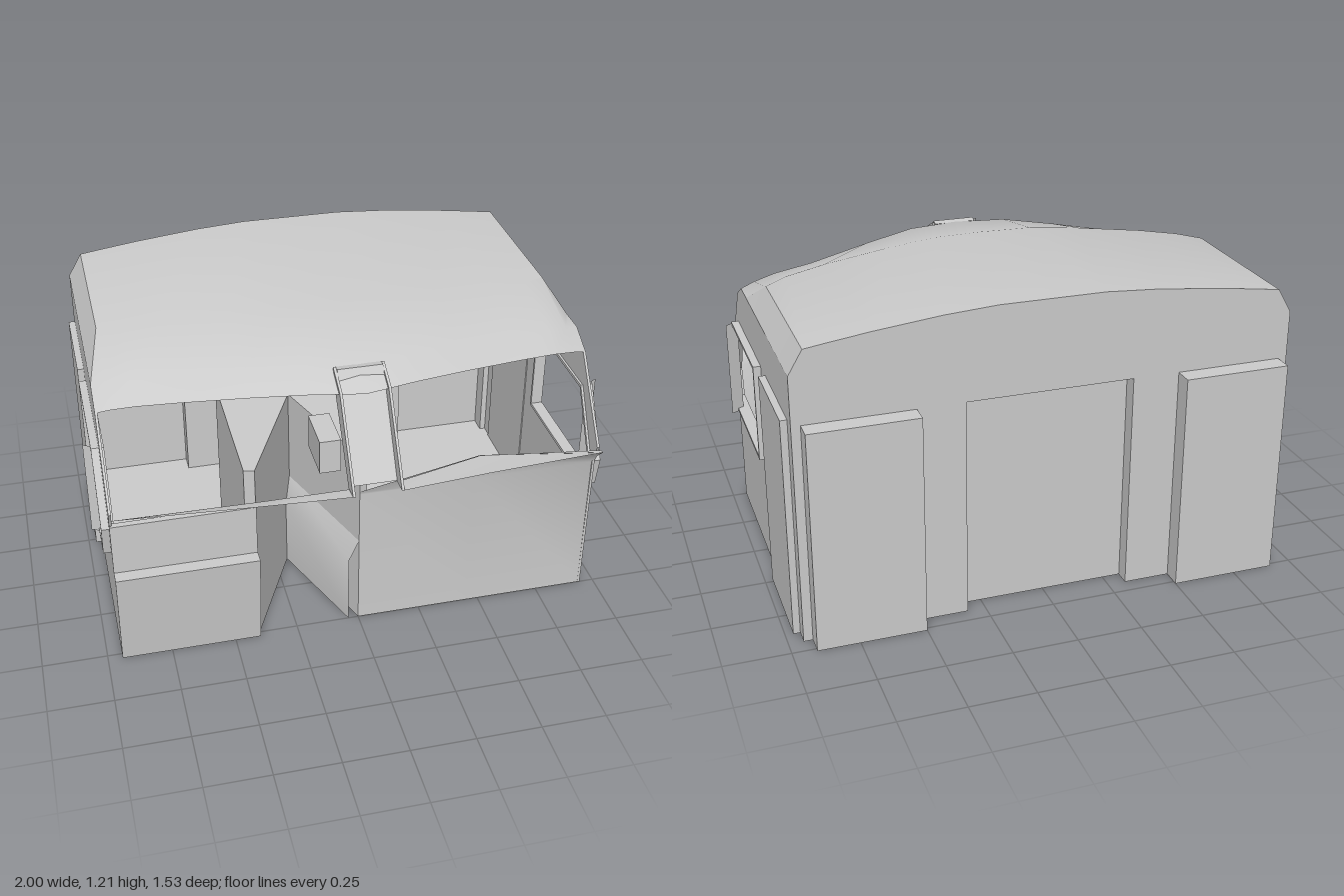
import * as THREE from 'three';
import { toCreasedNormals } from 'three/addons/utils/BufferGeometryUtils.js';

const mat = new THREE.MeshStandardMaterial({ color: 0xcccccc, side: THREE.DoubleSide });
const oneSided = new THREE.MeshStandardMaterial({ color: 0xcccccc });

const outline = (pts) => new THREE.Shape(pts.map(([a, b]) => new THREE.Vector2(a, b)));

// Surface through equal-length rows of [x, y, z] points
function loft(rows, crease = 0.5) {
  const n = rows[0].length, index = [];
  for (let i = 0; i < rows.length - 1; i++) {
    for (let j = 0; j < n - 1; j++) {
      const a = i * n + j, b = a + n;
      index.push(a, b, a + 1, b, b + 1, a + 1);
    }
  }
  const g = new THREE.BufferGeometry();
  g.setAttribute('position', new THREE.Float32BufferAttribute(rows.flat(2), 3));
  g.setIndex(index);
  return toCreasedNormals(g, crease);
}

// Plate drawn in (z, y), running from x0 to x1
function sidePlate(shape, x0, x1) {
  const g = new THREE.ExtrudeGeometry(shape, { depth: x1 - x0, bevelEnabled: false });
  return g.rotateY(-Math.PI / 2).translate(x1, 0, 0);
}

// Box from its minimum and maximum corners
function block(x0, x1, y0, y1, z0, z1) {
  return new THREE.BoxGeometry(x1 - x0, y1 - y0, z1 - z0)
    .translate((x0 + x1) / 2, (y0 + y1) / 2, (z0 + z1) / 2);
}

export function createModel() {
  const model = new THREE.Group();
  const add = (name, geometry, material = mat, parent = model) => {
    const m = new THREE.Mesh(geometry, material);
    m.name = name;
    parent.add(m);
    return m;
  };

  // Floor with front notch, rear doorway recess and rear pads
  const floor = outline([
    [0.944, 0.5], [0, 0.5], [-0.17, 0.01], [-0.4, 0.5], [-0.944, 0.5], [-0.944, -0.69],
    [-0.91, -0.69], [-0.91, -0.765], [-0.5, -0.765], [-0.5, -0.69],
    [-0.32, -0.69], [-0.32, -0.63], [0.32, -0.63], [0.32, -0.69],
    [0.5, -0.69], [0.5, -0.765], [0.91, -0.765], [0.91, -0.69], [0.944, -0.69],
  ]);
  add('floor', new THREE.ShapeGeometry(floor).rotateX(Math.PI / 2));

  // Roof columns: x, crown height, kink z, middle y, middle z, front y, front z
  const half = [
    [0, 1.21, 0.1, 1.147, 0.45, 1.09, 0.57],
    [0.2, 1.21, 0.09, 1.147, 0.42, 1.09, 0.53],
    [0.4, 1.197, 0.06, 1.125, 0.36, 1.07, 0.47],
    [0.65, 1.17, 0.03, 1.09, 0.29, 1.043, 0.4],
    [0.8, 1.15, 0.0, 1.075, 0.26, 1.022, 0.355],
    [0.89, 1.137, -0.05, 1.06, 0.23, 1.005, 0.33],
    [0.944, 1.045, 0.1, 1.045, 0.21, 0.99, 0.315],
  ];
  const columns = [...half.slice(1).reverse().map(([x, ...r]) => [-x, ...r]), ...half];
  const roofRows = [
    columns.map(([x, y]) => [x, y, -0.69]),
    columns.map(([x, y, zk]) => [x, y, zk]),
    columns.map(([x, , , ym, zm]) => [x, ym, zm]),
    columns.map(([x, , , , , yf, zf]) => [x, yf, zf]),
  ];
  add('roof', loft(roofRows, 0.6));

  // Rear wall under the arch, with three openings reaching the floor
  const door = (x0, x1) => [[x0, 0], [x0, 0.86], [x1, 0.86], [x1, 0]];
  const rear = outline([
    [-0.944, 0], ...door(-0.91, -0.5), ...door(-0.32, 0.32), ...door(0.5, 0.91), [0.944, 0],
    ...columns.map(([x, y]) => [x, y]).reverse(),
  ]);
  add('rearWall', new THREE.ShapeGeometry(rear).translate(0, 0, -0.69));

  // Trays filling the openings: two pads stand out, the doorway is set in
  const tray = (name, x0, x1, z) => {
    const g = new THREE.Group();
    g.name = name;
    model.add(g);
    const [a, b] = [Math.min(z, -0.69), Math.max(z, -0.69)];
    add('trayFace', new THREE.PlaneGeometry(x1 - x0, 0.86).translate((x0 + x1) / 2, 0.43, z), mat, g);
    add('trayRim', loft([a, b].map((w) => door(x0, x1).map(([x, y]) => [x, y, w]))), mat, g);
  };
  tray('rightRearPad', -0.91, -0.5, -0.765);
  tray('rearDoorway', -0.32, 0.32, -0.63);
  tray('leftRearPad', 0.5, 0.91, -0.765);

  // Side walls, window frames, side doors and wind deflectors
  const windowPts = [[0.47, 0.475], [0.495, 0.6], [0.345, 0.86], [-0.14, 0.86], [-0.14, 0.475]];
  const framePts = [[0.455, 0.487], [0.478, 0.6], [0.338, 0.848], [-0.128, 0.848], [-0.128, 0.487]];
  const side = outline([
    [-0.69, 0], [0.5, 0], [0.505, 0.62], [0.535, 0.69], [0.315, 0.99], [0.21, 1.045], [-0.69, 1.045],
  ]);
  side.holes.push(outline(windowPts));
  const frame = outline(windowPts);
  frame.holes.push(outline(framePts));
  for (const s of [1, -1]) {
    const g = new THREE.Group();
    g.name = s > 0 ? 'leftSide' : 'rightSide';
    model.add(g);
    const span = (a, b) => (s > 0 ? [a, b] : [-b, -a]);
    add('sideWall', sidePlate(side, ...span(0.934, 0.944)), mat, g);
    add('windowFrame', sidePlate(frame, ...span(0.925, 0.973)), mat, g);
    add('sideDoor', block(...span(0.93, 0.97), 0, 0.86, -0.63, -0.23), mat, g);
    add('windDeflector', loft([0.475, 0.86].map((y) => [[s * 0.95, y, 0.34], [s, y, 0.312]])), mat, g);
  }

  // Left front panel, flaring forward near its top
  add('leftFrontPanel', loft([
    [[0, 0, 0.5], [0.45, 0, 0.5], [0.944, 0, 0.5]],
    [[0, 0.6, 0.5], [0.45, 0.6, 0.5], [0.944, 0.6, 0.5]],
    [[0, 0.61, 0.501], [0.45, 0.68, 0.52], [0.944, 0.64, 0.52]],
    [[0, 0.615, 0.503], [0.45, 0.75, 0.56], [0.944, 0.69, 0.57]],
  ], 1));

  // Left windscreen ledge
  add('leftLedge', loft([
    [[0.09, 0.785, 0.7], [0.45, 0.748, 0.56], [0.944, 0.687, 0.55]],
    [[0.09, 0.79, 0.765], [0.45, 0.75, 0.68], [0.944, 0.69, 0.57]],
  ]));

  // Right front panel, lower leaning box and ledge underside
  add('rightFrontPanel', block(-0.944, -0.4, 0, 0.62, 0.49, 0.515));
  add('rightFrontBox', sidePlate(outline([[0.5, 0], [0.525, 0], [0.568, 0.41], [0.5, 0.41]]), -0.944, -0.4));
  add('rightFlare', loft([
    [[-0.944, 0.6, 0.515], [-0.4, 0.6, 0.515]],
    [[-0.944, 0.69, 0.57], [-0.4, 0.745, 0.56]],
  ].map((r) => r.reverse()).reverse()), oneSided);
  add('rightLedge', loft([
    [[-0.944, 0.69, 0.57], [-0.4, 0.753, 0.695], [-0.09, 0.79, 0.765]],
    [[-0.944, 0.68, 0.555], [-0.4, 0.743, 0.65], [-0.09, 0.78, 0.7]],
  ].reverse()), oneSided);

  // Console wrapped round the V-shaped front notch
  const consoleShape = outline([
    [-0.44, 0.49], [-0.4, 0.5], [-0.17, 0.01], [0, 0.5], [0.03, 0.49], [0.03, -0.12], [-0.44, -0.12],
  ]);
  add('console', new THREE.ExtrudeGeometry(consoleShape, { depth: 0.775, bevelEnabled: false })
    .rotateX(Math.PI / 2).translate(0, 0.775, 0));
  add('notchStep', loft([
    [[-0.2, 0, 0.07], [-0.04, 0, 0.5]],
    [[-0.2, 0.29, 0.07], [-0.04, 0.29, 0.5]],
    [[-0.17, 0.38, 0.01], [0, 0.38, 0.5]],
  ]));
  add('instrumentBox', block(-0.17, -0.09, 0.77, 0.905, 0.38, 0.565));

  // Centre windscreen post: sloping face with a flange along each edge
  add('postFace', sidePlate(outline([[0.67, 0.79], [0.7, 0.79], [0.48, 1.15], [0.45, 1.145]]), -0.085, 0.085));
  const flange = outline([[0.7, 0.785], [0.765, 0.79], [0.56, 1.1], [0.46, 1.15], [0.47, 1.1]]);
  for (const s of [1, -1]) {
    add(s > 0 ? 'leftPostFlange' : 'rightPostFlange',
      sidePlate(flange, s * 0.09 - 0.005, s * 0.09 + 0.005));
  }

  return model;
}
